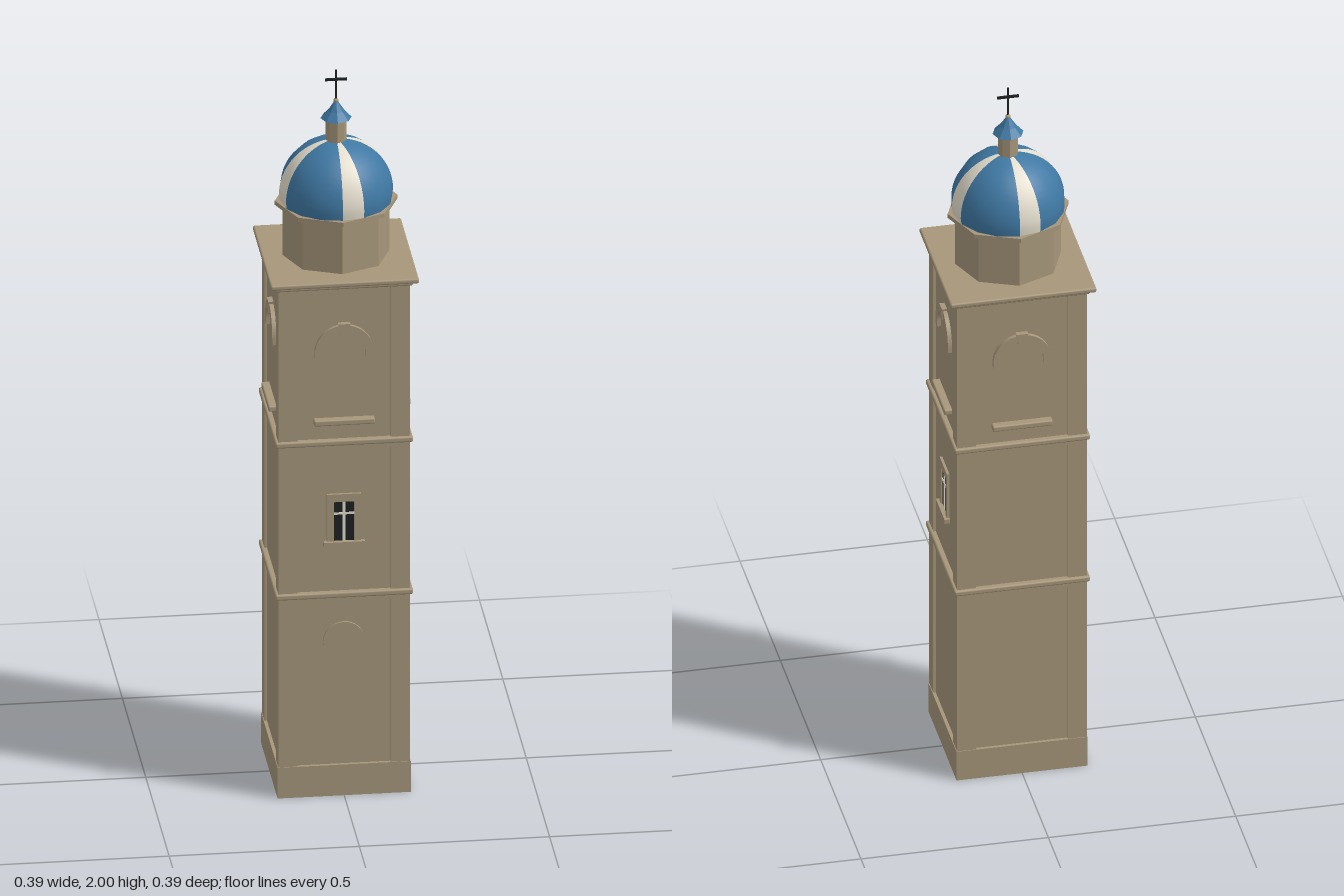
import * as THREE from 'three';
import { RoundedBoxGeometry } from 'three/addons/geometries/RoundedBoxGeometry.js';

const mat = (name, color) => {
  const m = new THREE.MeshStandardMaterial({ color });
  m.name = name;
  return m;
};

export function createModel() {
  const stone = mat('stone', 0xa6967a);
  const blue = mat('blue tile', 0x3f78a3);
  const cream = mat('cream', 0xe4deCE);
  const dark = mat('dark', 0x1e2022);

  const tower = new THREE.Group();
  tower.name = 'bellTower';

  const add = (parent, name, geo, material, x = 0, y = 0, z = 0) => {
    const mesh = new THREE.Mesh(geo, material);
    mesh.name = name;
    mesh.position.set(x, y, z);
    parent.add(mesh);
    return mesh;
  };
  // box given by its bottom and top heights
  const box = (parent, name, material, w, y0, y1, d, x = 0, z = 0) =>
    add(parent, name, new THREE.BoxGeometry(w, y1 - y0, d), material, x, (y0 + y1) / 2, z);
  const slab = (name, half, y0, y1) =>
    add(tower, name, new RoundedBoxGeometry(half * 2, y1 - y0, half * 2, 2, 0.005), stone, 0, (y0 + y1) / 2);
  // flat-sided octagonal drum, with corners on the axes
  const octagon = (name, material, rTop, rBottom, y0, y1) => {
    const geo = new THREE.CylinderGeometry(rTop, rBottom, y1 - y0, 8).toNonIndexed();
    geo.computeVertexNormals();
    return add(tower, name, geo, material, 0, (y0 + y1) / 2);
  };

  // shaft: recessed core with corner pilasters
  const FACE = 0.166, OUT = 0.173, PIL = 0.05;
  box(tower, 'shaft', stone, FACE * 2, 0.02, 1.46, FACE * 2);
  box(tower, 'plinth', stone, 0.35, 0, 0.088, 0.35);
  for (const sx of [-1, 1]) for (const sz of [-1, 1])
    box(tower, 'cornerPilaster', stone, PIL, 0.08, 1.46, PIL, sx * (OUT - PIL / 2), sz * (OUT - PIL / 2));

  // string courses and main cornice
  for (const y of [0.568, 1.004]) {
    slab('stringCourse', 0.181, y, y + 0.016);
    box(tower, 'bandUnderCourse', stone, OUT * 2, y - 0.012, y + 0.004, OUT * 2);
  }
  slab('lowerCornice', 0.181, 1.452, 1.466);
  slab('mainCornice', 0.195, 1.464, 1.478);

  // belfry arch outline
  const arch = new THREE.Shape();
  arch.moveTo(0.077, 1.255);
  arch.lineTo(0.077, 1.27);
  arch.absarc(0, 1.27, 0.077, 0, Math.PI, false);
  arch.lineTo(-0.077, 1.255);
  arch.lineTo(-0.057, 1.255);
  arch.absarc(0, 1.27, 0.057, Math.PI, 0, true);
  arch.lineTo(0.057, 1.255);
  const archGeo = new THREE.ExtrudeGeometry(arch, { depth: 0.012, bevelEnabled: false, curveSegments: 16 });

  const keystone = new THREE.Shape([
    [-0.01, 1.318], [0.01, 1.318], [0.016, 1.352], [-0.016, 1.352],
  ].map(([x, y]) => new THREE.Vector2(x, y)));
  const keyGeo = new THREE.ExtrudeGeometry(keystone, { depth: 0.015, bevelEnabled: false });

  // window surround with its opening
  const surround = new THREE.Shape([
    [-0.045, 0.725], [0.045, 0.725], [0.045, 0.862], [-0.045, 0.862],
  ].map(([x, y]) => new THREE.Vector2(x, y)));
  surround.holes.push(new THREE.Path([
    [-0.027, 0.728], [-0.027, 0.84], [0.027, 0.84], [0.027, 0.728],
  ].map(([x, y]) => new THREE.Vector2(x, y))));
  const surroundGeo = new THREE.ExtrudeGeometry(surround, { depth: 0.008, bevelEnabled: false });

  for (let i = 0; i < 4; i++) {
    const side = new THREE.Group();
    side.name = ['frontSide', 'leftSide', 'backSide', 'rightSide'][i];
    side.rotation.y = i * Math.PI / 2;
    tower.add(side);

    add(side, 'belfryArch', archGeo, stone, 0, 0, FACE - 0.001);
    add(side, 'keystone', keyGeo, stone, 0, 0, FACE - 0.001);
    add(side, 'belfrySill', new RoundedBoxGeometry(0.16, 0.016, 0.024, 2, 0.004), stone, 0, 1.073, FACE + 0.009);

    // windows on the front and left only
    if (i < 2) {
      add(side, 'windowSurround', surroundGeo, stone, 0, 0, FACE - 0.001);
      box(side, 'windowPane', dark, 0.054, 0.728, 0.84, 0.004, 0, FACE + 0.001);
      box(side, 'windowMullion', cream, 0.007, 0.728, 0.84, 0.004, 0, FACE + 0.003);
      box(side, 'windowTransom', cream, 0.054, 0.803, 0.809, 0.004, 0, FACE + 0.003);
      box(side, 'windowSill', stone, 0.108, 0.716, 0.728, 0.018, 0, FACE + 0.006);
    }
    // round plaque on the lower front
    if (i === 0) {
      const disc = add(side, 'roundPlaque', new THREE.CylinderGeometry(0.055, 0.055, 0.008, 32), stone, 0, 0.44, FACE + 0.002);
      disc.rotation.x = Math.PI / 2;
    }
  }

  // octagonal drum and its rim
  octagon('drum', stone, 0.141, 0.141, 1.475, 1.625);
  octagon('drumRim', stone, 0.161, 0.161, 1.622, 1.634);

  // striped dome: one cream gore and three blue gores per quarter
  const profile = [new THREE.Vector2(0.147, 1.63)];
  for (let i = 0; i <= 14; i++) {
    const a = i / 14 * Math.PI / 2;
    profile.push(new THREE.Vector2(Math.max(0.15 * Math.cos(a), 0.0001), 1.652 + 0.152 * Math.sin(a)));
  }
  const gore = Math.PI / 8;
  for (let q = 0; q < 4; q++) {
    const start = q * Math.PI / 2;
    add(tower, 'domeCreamStripe', new THREE.LatheGeometry(profile, 1, start, gore), cream);
    add(tower, 'domeBluePanel', new THREE.LatheGeometry(profile, 3, start + gore, gore * 3), blue);
  }

  // lantern, its roof, finial and cross
  octagon('lantern', stone, 0.027, 0.027, 1.79, 1.868);
  octagon('lanternRoofEave', blue, 0.022, 0.041, 1.864, 1.885);
  octagon('lanternRoofTop', blue, 0.004, 0.022, 1.885, 1.912);
  add(tower, 'finialBall', new THREE.SphereGeometry(0.007, 12, 8), stone, 0, 1.913);
  box(tower, 'crossPost', dark, 0.005, 1.912, 2, 0.005);
  box(tower, 'crossArm', dark, 0.058, 1.97, 1.976, 0.006);

  return tower;
}
